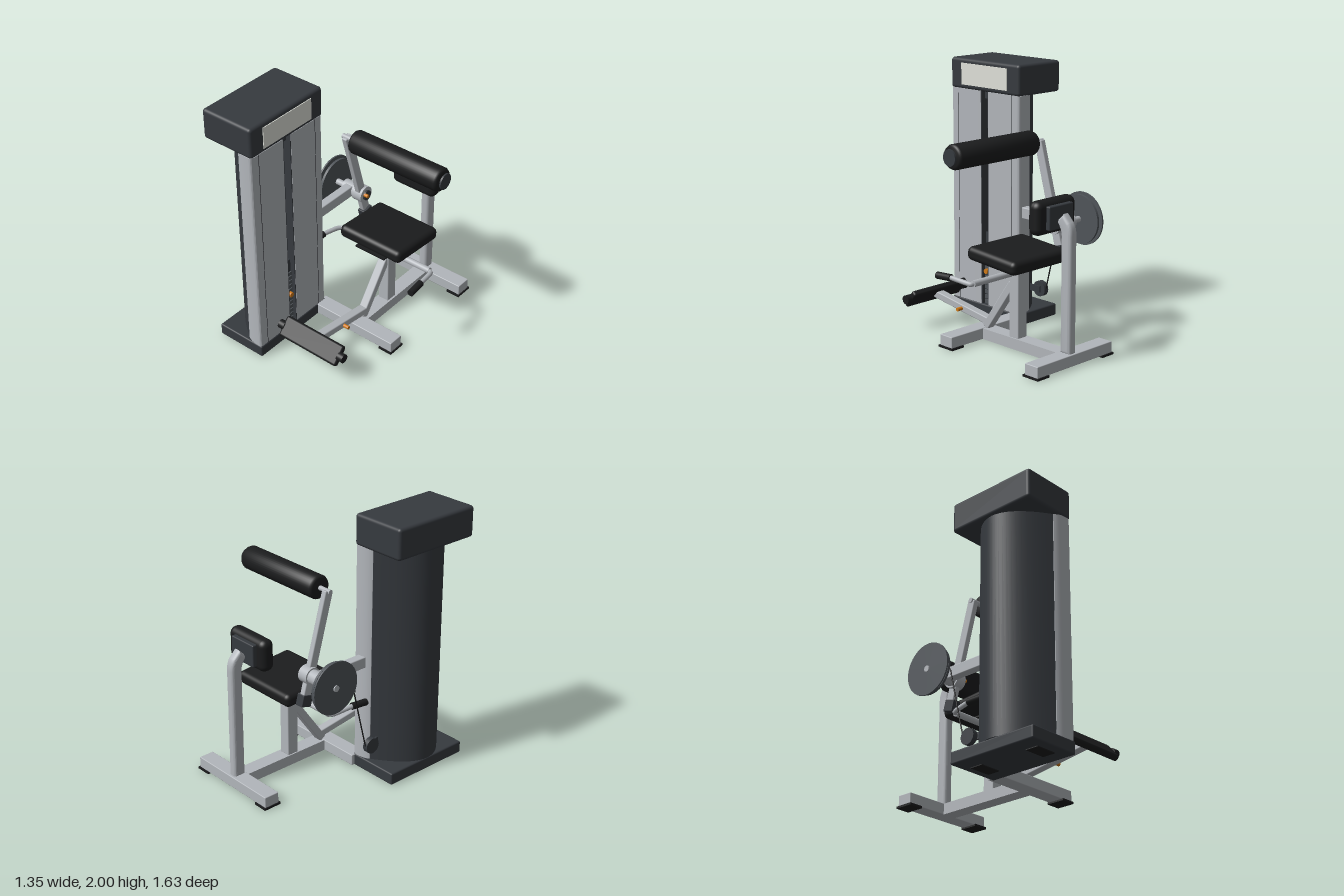
import * as THREE from 'three';
import { RoundedBoxGeometry } from 'three/addons/geometries/RoundedBoxGeometry.js';
import { toCreasedNormals } from 'three/addons/utils/BufferGeometryUtils.js';

const mat = (color) => new THREE.MeshStandardMaterial({ color });
const V = (x, y, z) => new THREE.Vector3(x, y, z);

export function createModel() {
  const root = new THREE.Group();
  const steel = mat(0xb2b6bb), dark = mat(0x363a3f), black = mat(0x1b1c1d);
  const shade = mat(0x25282b), disc = mat(0x50555a), orange = mat(0xd07a18), cream = mat(0xdfe1d9);

  const add = (name, geo, m) => {
    const mesh = new THREE.Mesh(geo, m);
    mesh.name = name;
    root.add(mesh);
    return mesh;
  };
  // box given by its extents, optionally with rounded edges
  const box = (name, m, x0, x1, y0, y1, z0, z1, r = 0) => {
    const s = [x1 - x0, y1 - y0, z1 - z0];
    const mesh = add(name, r ? new RoundedBoxGeometry(...s, 4, r) : new THREE.BoxGeometry(...s), m);
    mesh.position.set((x0 + x1) / 2, (y0 + y1) / 2, (z0 + z1) / 2);
    return mesh;
  };
  // cylinder lying along x
  const rod = (name, m, x0, x1, y, z, r, seg = 32) => {
    const mesh = add(name, new THREE.CylinderGeometry(r, r, x1 - x0, seg), m);
    mesh.rotation.z = Math.PI / 2;
    mesh.position.set((x0 + x1) / 2, y, z);
    return mesh;
  };
  // rectangular bar between two points
  const bar = (name, m, a, b, w, h) => {
    const mesh = add(name, new RoundedBoxGeometry(w, h, a.distanceTo(b), 2, 0.008), m);
    mesh.position.copy(a).lerp(b, 0.5);
    mesh.lookAt(b);
    return mesh;
  };
  // round tube through points
  const tube = (name, m, pts, r) =>
    add(name, new THREE.TubeGeometry(new THREE.CatmullRomCurve3(pts, false, 'catmullrom', 0.2), 32, r, 14), m);
  // floor outline (x, -z) raised between two heights
  const raise = (name, m, shape, y0, y1) => {
    const g = new THREE.ExtrudeGeometry(shape, { depth: y1 - y0, bevelEnabled: false, curveSegments: 24 });
    g.rotateX(-Math.PI / 2).translate(0, y0, 0);
    return add(name, toCreasedNormals(g, 0.5), m);
  };

  // --- weight tower ---
  box('towerBase', dark, -0.653, -0.235, 0.006, 0.1, 0.08, 0.812, 0.012);
  for (const z of [0.2, 0.69]) box('towerFoot', black, -0.53, -0.36, 0, 0.01, z - 0.05, z + 0.05);
  box('towerCap', dark, -0.675, -0.234, 1.765, 2, 0.081, 0.813, 0.025);
  box('capPanel', cream, -0.25, -0.228, 1.8, 1.965, 0.205, 0.69);

  const shell = new THREE.Shape();
  shell.moveTo(-0.38, -0.117);
  shell.lineTo(-0.385, -0.117);
  shell.quadraticCurveTo(-0.925, -0.447, -0.385, -0.777);
  shell.lineTo(-0.38, -0.777);
  shell.closePath();
  raise('towerShell', dark, shell, 0.1, 1.77);

  // face with bowed ends and a slot for the weights
  const face = new THREE.Shape();
  face.moveTo(-0.385, -0.78);
  face.quadraticCurveTo(-0.345, -0.81, -0.265, -0.81);
  face.quadraticCurveTo(-0.24, -0.81, -0.24, -0.785);
  face.lineTo(-0.24, -0.49);
  face.lineTo(-0.37, -0.49);
  face.lineTo(-0.37, -0.41);
  face.lineTo(-0.24, -0.41);
  face.lineTo(-0.24, -0.11);
  face.quadraticCurveTo(-0.24, -0.085, -0.265, -0.085);
  face.quadraticCurveTo(-0.345, -0.085, -0.385, -0.115);
  face.closePath();
  raise('towerFace', steel, face, 0.1, 1.77);
  for (const z of [0.16, 0.735]) box('faceSeam', shade, -0.25, -0.239, 0.1, 1.77, z - 0.002, z + 0.002);

  // channel lining, weight plates and guide rod
  box('channelBack', shade, -0.372, -0.36, 0.1, 1.77, 0.41, 0.49);
  for (const z of [0.413, 0.487]) box('channelSide', dark, -0.365, -0.242, 0.1, 1.77, z - 0.004, z + 0.004);
  for (let i = 0; i < 12; i++) {
    const y = 0.1 + i * 0.039;
    box('weightPlate', disc, -0.36, -0.27, y, y + 0.031, 0.416, 0.484);
  }
  box('stackCore', shade, -0.36, -0.28, 0.1, 0.57, 0.42, 0.48);
  box('stackHead', dark, -0.36, -0.28, 0.57, 0.67, 0.42, 0.48);
  box('channelTop', dark, -0.36, -0.28, 1.71, 1.77, 0.416, 0.484);
  box('guideRod', black, -0.33, -0.315, 0.67, 1.71, 0.442, 0.458);
  rod('selectorPin', orange, -0.29, -0.245, 0.365, 0.45, 0.02);

  // --- floor frame ---
  box('frontBeam', steel, -0.26, 0.478, 0.012, 0.098, 0.052, 0.175, 0.006);
  box('rearBeam', steel, -0.288, 0.478, 0.012, 0.098, -0.807, -0.685, 0.006);
  box('spineBeam', steel, 0.05, 0.165, 0.012, 0.095, -0.69, 0.06);
  for (const [x, z] of [[0.427, 0.113], [0.427, -0.745], [-0.238, -0.745]])
    box('footPlate', black, x - 0.058, x + 0.058, 0, 0.016, z - 0.072, z + 0.072);

  // --- seat ---
  box('seatPost', steel, 0.06, 0.15, 0.09, 0.66, -0.297, -0.203, 0.008);
  box('seatPlate', black, -0.03, 0.24, 0.64, 0.652, -0.38, -0.03);
  const seat = box('seatPad', black, -0.173, 0.391, 0.66, 0.763, -0.495, -0.01, 0.04);
  seat.rotation.x = -0.075;

  // --- back pad on its bent post ---
  const post = new THREE.Shape();
  post.moveTo(0.695, 0.09);
  post.lineTo(0.79, 0.09);
  post.lineTo(0.79, 0.94);
  post.quadraticCurveTo(0.79, 1.0, 0.765, 1.035);
  post.lineTo(0.71, 1.09);
  post.lineTo(0.65, 1.03);
  post.quadraticCurveTo(0.695, 0.98, 0.695, 0.93);
  post.closePath();
  const postGeo = new THREE.ExtrudeGeometry(post, {
    depth: 0.025, bevelSize: 0.025, bevelOffset: -0.025, bevelThickness: 0.025, bevelSegments: 5,
  });
  postGeo.rotateY(Math.PI / 2).translate(0.095, 0, 0);
  add('backPost', toCreasedNormals(postGeo, 0.6), steel);
  box('backPlate', dark, -0.015, 0.225, 0.975, 1.145, -0.67, -0.62, 0.01);
  box('backPad', black, -0.088, 0.305, 0.937, 1.18, -0.638, -0.525, 0.05);

  // --- foot rest ---
  bar('footBrace', steel, V(0.105, 0.1, 0.06), V(0.105, 0.49, -0.215), 0.068, 0.06);
  bar('footLever', steel, V(0.105, 0.145, 0.03), V(0.105, 0.235, 0.64), 0.068, 0.055);
  rod('footKnob', orange, 0.13, 0.185, 0.185, 0.31, 0.014);
  for (const x of [-0.198, 0.36]) rod('footPadEnd', black, x, x + 0.052, 0.238, 0.635, 0.034);
  const foot = box('footPad', black, -0.165, 0.375, 0.211, 0.261, 0.553, 0.713, 0.018);
  foot.rotation.x = 0.83;

  // --- side handles, mirrored about the seat centre ---
  rod('handleBar', steel, -0.31, 0.52, 0.57, -0.22, 0.024);
  for (const s of [-1, 1]) {
    const p = (dx, y, z) => V(0.105 + s * dx, y, z);
    tube('handleBend', steel, [p(0.39, 0.57, -0.22), p(0.43, 0.568, -0.212),
      p(0.445, 0.575, -0.17), p(0.462, 0.588, -0.05), p(0.465, 0.586, 0.02)], 0.018);
    const grip = add('handleGrip', new THREE.CylinderGeometry(0.026, 0.026, 0.135, 20), black);
    grip.position.copy(p(0.467, 0.585, 0.02));
    grip.rotation.set(Math.PI / 2 + 0.05, 0, -s * 0.06);
  }

  // --- pivot, cam and cable ---
  const py = 0.885, pz = -0.327;
  box('pivotSupport', steel, -0.345, -0.275, 0.845, 0.932, -0.3, 0.1, 0.008);
  rod('pivotHousing', steel, -0.37, -0.25, py, pz, 0.054);
  rod('pivotHub', steel, -0.255, -0.17, py, pz, 0.066);
  rod('hubCap', dark, -0.172, -0.155, py, pz, 0.04);
  rod('hubPin', orange, -0.165, -0.13, 0.9, -0.302, 0.014);
  rod('camShaft', steel, -0.505, -0.35, py, pz, 0.024);
  rod('camDisc', disc, -0.496, -0.484, py, pz, 0.2, 64);
  rod('camInnerDisc', disc, -0.468, -0.449, py, pz, 0.185, 64);
  tube('cable', black, [V(-0.455, 0.84, -0.135), V(-0.455, 0.55, -0.065), V(-0.455, 0.27, 0.005)], 0.005);
  rod('cablePulley', dark, -0.475, -0.435, 0.27, 0.058, 0.06);
  box('pulleyBracket', dark, -0.435, -0.42, 0.245, 0.295, 0.04, 0.15);

  // --- moving arm with roller ---
  bar('swingArm', steel, V(-0.212, 0.7, -0.37), V(-0.212, 1.48, -0.152), 0.045, 0.07);
  const block = box('armCounterBlock', dark, -0.24, -0.17, 0.65, 0.74, -0.41, -0.32, 0.006);
  block.rotation.x = 0.27;
  rod('rollerAxle', steel, -0.245, 0.665, 1.475, -0.152, 0.018);
  rod('rollerEndDisc', dark, 0.66, 0.673, 1.475, -0.152, 0.06);
  const roll = [[0, -0.391], [0.07, -0.391], [0.083, -0.386], [0.09, -0.371],
    [0.09, 0.371], [0.083, 0.386], [0.07, 0.391], [0, 0.391]];
  const roller = add('rollerPad', toCreasedNormals(
    new THREE.LatheGeometry(roll.map(([r, y]) => new THREE.Vector2(r, y)), 40), 0.8), black);
  roller.rotation.z = Math.PI / 2;
  roller.position.set(0.257, 1.475, -0.152);

  return root;
}
